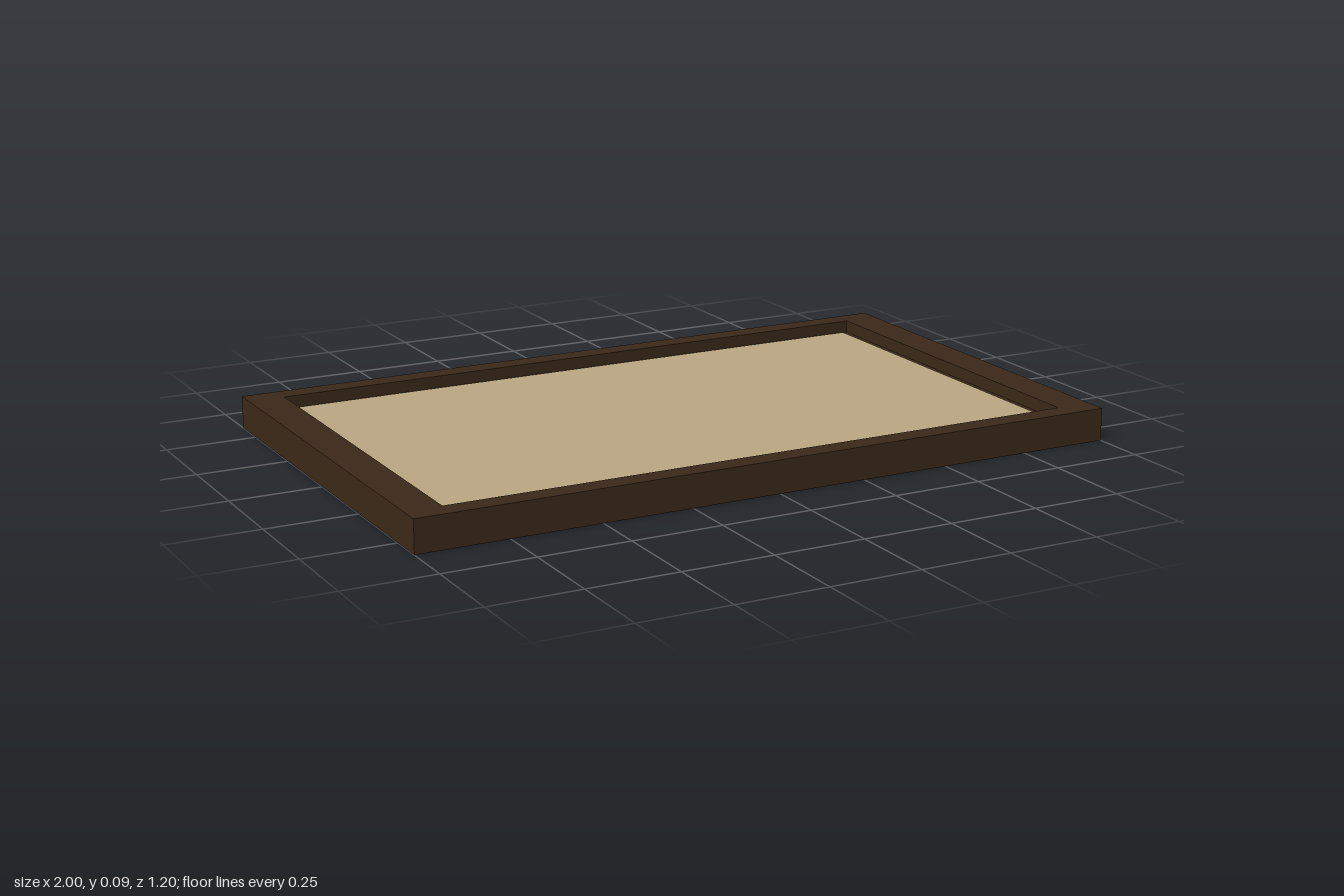
import * as THREE from 'three';

const WIDTH = 2, DEPTH = 1.2, HEIGHT = 0.09;
const OPEN_W = 1.8, OPEN_D = 1.08, FLOOR_Y = 0.055;

function rectangle(PathType, w, d) {
  return new PathType([[-1, -1], [1, -1], [1, 1], [-1, 1]]
    .map(([x, y]) => new THREE.Vector2(x * w / 2, y * d / 2)));
}

export function createModel() {
  const model = new THREE.Group();
  const wood = new THREE.MeshStandardMaterial({ color: 0x3a2818 });
  const linen = new THREE.MeshStandardMaterial({ color: 0xb8a580 });

  const add = (name, geometry, material, y, z = 0) => {
    const mesh = new THREE.Mesh(geometry, material);
    mesh.name = name;
    mesh.position.set(0, y, z);
    model.add(mesh);
  };

  // Rectangular frame with narrow front and back rails and wider side rails
  const outline = rectangle(THREE.Shape, WIDTH, DEPTH);
  outline.holes.push(rectangle(THREE.Path, OPEN_W, OPEN_D));
  const frame = new THREE.ExtrudeGeometry(outline, { depth: HEIGHT, bevelEnabled: false });
  frame.rotateX(-Math.PI / 2);
  add('frame', frame, wood, 0);

  // Solid base filling the frame up to the recess floor
  add('base', new THREE.BoxGeometry(OPEN_W, FLOOR_Y, OPEN_D), wood, FLOOR_Y / 2);

  // Thin pale panel on the recess floor, set slightly toward the back
  add('panel', new THREE.BoxGeometry(1.76, 0.004, 1.03), linen, FLOOR_Y + 0.002, -0.015);

  return model;
}
